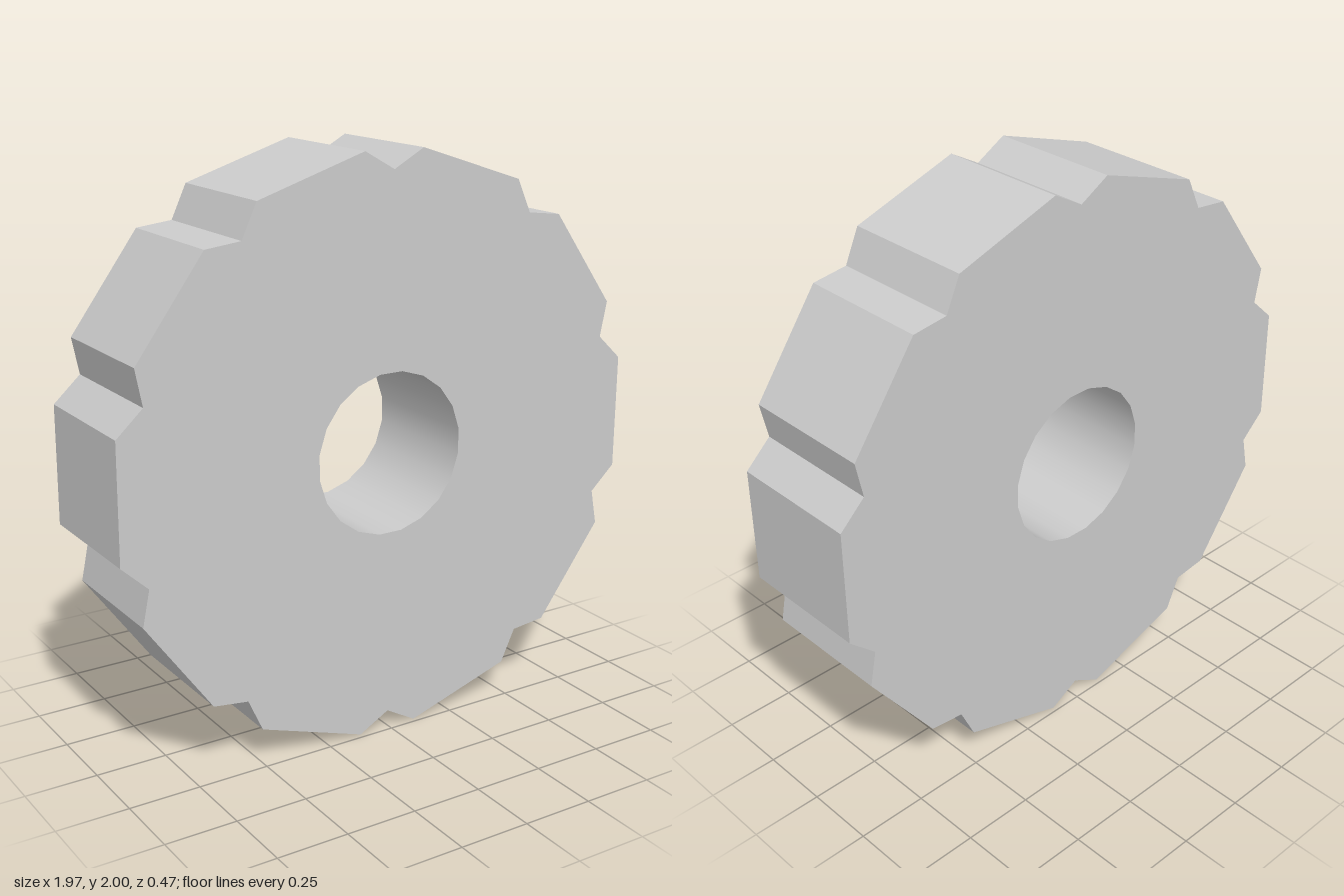
import * as THREE from 'three';

const TEETH = 10, TIP_R = 1.0054, VALLEY_R = 0.937, HOLE_R = 0.28, DEPTH = 0.467;

// point at a counterclockwise angle (degrees) from straight up
const polar = (r, deg) => {
  const a = THREE.MathUtils.degToRad(deg);
  return new THREE.Vector2(-r * Math.sin(a), r * Math.cos(a));
};

export function createModel() {
  const group = new THREE.Group();

  // notched rim: a valley, then two tips joined by a flat, for each tooth
  const rim = [];
  const step = 360 / TEETH, lead = 6.35, twist = -0.4;
  for (let i = 0; i < TEETH; i++) {
    const a = i * step + twist;
    rim.push(polar(VALLEY_R, a), polar(TIP_R, a + lead), polar(TIP_R, a + step - lead));
  }
  const shape = new THREE.Shape(rim);

  // central bore
  const bore = [];
  for (let i = 0; i < 20; i++) bore.push(polar(HOLE_R, 9 + i * 18));
  shape.holes.push(new THREE.Path(bore));

  const geometry = new THREE.ExtrudeGeometry(shape, { depth: DEPTH, bevelEnabled: false });
  geometry.translate(0, 0, -DEPTH / 2);

  // smooth shading on the bore wall only
  const pos = geometry.attributes.position, nor = geometry.attributes.normal;
  for (let i = 0; i < pos.count; i++) {
    const x = pos.getX(i), y = pos.getY(i), r = Math.hypot(x, y);
    if (r < HOLE_R + 0.01 && Math.abs(nor.getZ(i)) < 0.5) nor.setXYZ(i, -x / r, -y / r, 0);
  }

  const wheel = new THREE.Mesh(geometry, new THREE.MeshStandardMaterial({ color: 0xcccccc }));
  wheel.name = 'notchedWheel';
  wheel.position.y = 1;
  group.add(wheel);
  return group;
}
